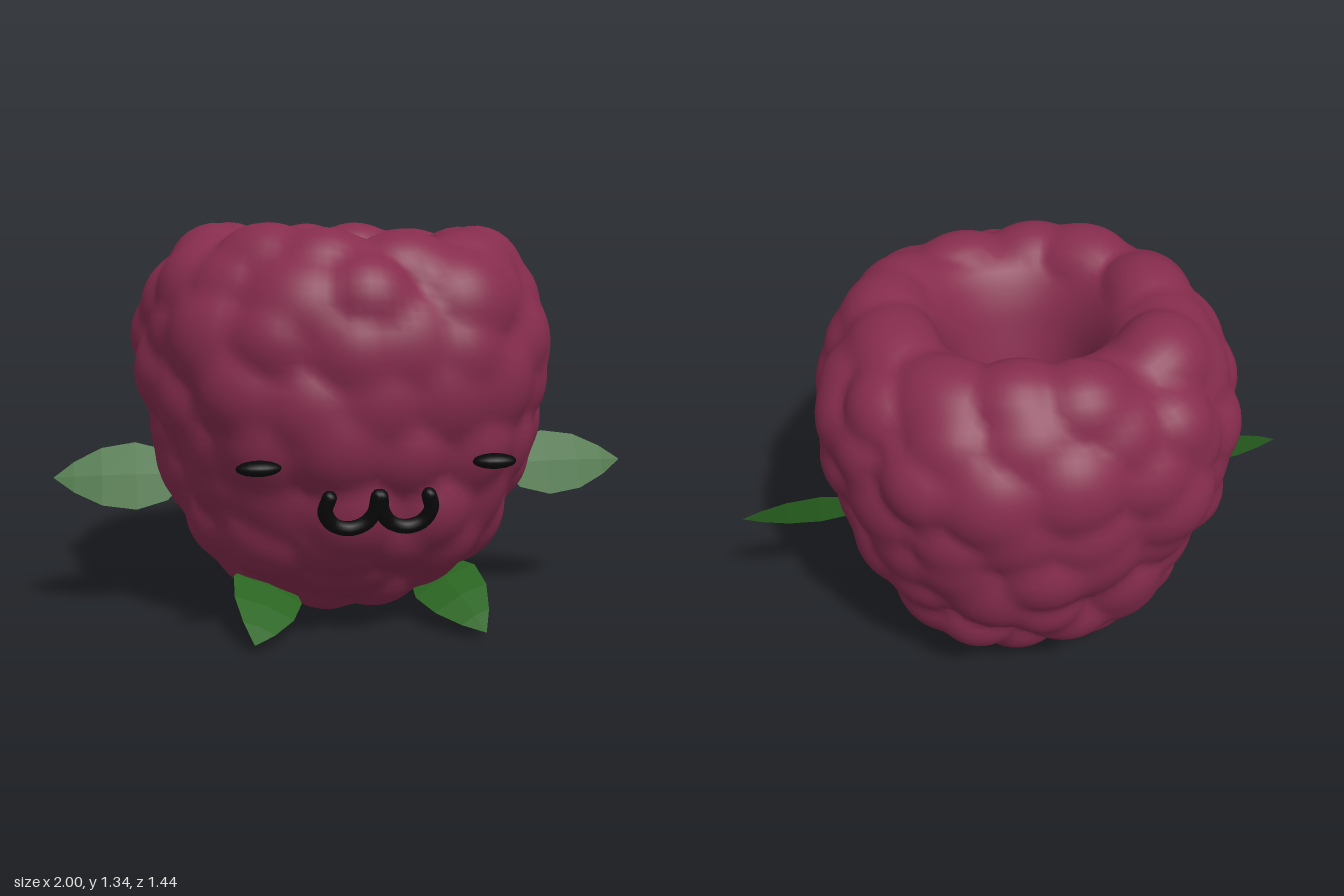
import * as THREE from 'three';
import { mergeVertices } from 'three/addons/utils/BufferGeometryUtils.js';

const material = (name, color) => Object.assign(new THREE.MeshStandardMaterial({ color }), { name });
const V = (x, y, z) => new THREE.Vector3(x, y, z);

function named(name, geometry, mat) {
  const mesh = new THREE.Mesh(geometry, mat);
  mesh.name = name;
  return mesh;
}

function seeded(seed) {
  return () => {
    seed = (seed * 16807) % 2147483647;
    return seed / 2147483647;
  };
}

// Hollow berry: a lathed profile pushed out into rounded drupelets
function berryGeometry() {
  const profile = new THREE.SplineCurve([
    [0, 0.05], [0.18, 0.07], [0.32, 0.125], [0.435, 0.21], [0.51, 0.31], [0.56, 0.43], [0.6, 0.54],
    [0.64, 0.66], [0.665, 0.79], [0.668, 0.93], [0.645, 1.06], [0.59, 1.17], [0.51, 1.245],
    [0.41, 1.27], [0.315, 1.235], [0.25, 1.13], [0.21, 1.0], [0.175, 0.86], [0.155, 0.78], [0, 0.75],
  ].map(([x, y]) => new THREE.Vector2(x, y)));
  const points = profile.getSpacedPoints(90);
  points.forEach((p) => { p.x = Math.max(p.x, 0); });
  points[0].x = points[90].x = 0;

  // Staggered, irregular rows of drupelet centres
  const random = seeded(113);
  const seeds = [];
  const rows = 10;
  for (let row = 0; row < rows; row++) {
    const u = 0.02 + (row / (rows - 1)) * 0.64;
    const ring = profile.getPointAt(u);
    const count = Math.max(1, Math.round((ring.x * Math.PI * 2) / 0.25));
    for (let i = 0; i < count; i++) {
      const angle = ((i + (row % 2) / 2 + (random() - 0.5) * 0.6) / count) * Math.PI * 2;
      const p = profile.getPointAt(Math.max(0, u + (random() - 0.5) * 0.04));
      seeds.push({
        at: V(Math.sin(angle) * p.x, p.y, Math.cos(angle) * p.x),
        radius: 0.14 + random() * 0.05,
        height: 0.035 + random() * 0.035,
      });
    }
  }

  let geometry = new THREE.LatheGeometry(points, 128);
  const position = geometry.attributes.position;
  const normal = geometry.attributes.normal;
  const p = V(0, 0, 0), n = V(0, 0, 0);
  for (let i = 0; i < position.count; i++) {
    p.fromBufferAttribute(position, i);
    n.fromBufferAttribute(normal, i);
    if (Math.hypot(p.x, p.z) < 1e-4) n.set(0, Math.sign(n.y), 0);
    // Smoothly blended domes
    let sum = 0;
    for (const s of seeds) {
      const d = p.distanceTo(s.at) / s.radius;
      if (d < 1) sum += (s.height * (1 - d * d)) ** 6;
    }
    // Slightly squared plan
    const square = 1 + 0.03 * (1 - Math.cos(4 * Math.atan2(p.x, p.z))) / 2;
    p.x *= square;
    p.z *= square;
    p.addScaledVector(n, sum ** (1 / 6));
    position.setXYZ(i, p.x, p.y, p.z);
  }
  geometry.deleteAttribute('uv');
  geometry.deleteAttribute('normal');
  geometry = mergeVertices(geometry, 1e-4);
  geometry.computeVertexNormals();
  return geometry;
}

// Faceted leaf: diamond cross-sections from base to tip
function leafGeometry(base, tip, side, topBulge, underBulge, arch) {
  const up = side.clone().cross(tip.clone().sub(base)).normalize();
  if (up.y < 0) up.negate();
  const widths = [[0, 0.35], [0.1, 0.75], [0.35, 1], [0.62, 0.85], [0.84, 0.45], [1, 0.01]];
  const loops = widths.map(([t, w]) => {
    const c = base.clone().lerp(tip, t).addScaledVector(up, arch * Math.sin(t * Math.PI));
    return [
      c.clone().addScaledVector(side, w),
      c.clone().addScaledVector(up, topBulge * w),
      c.clone().addScaledVector(side, -w),
      c.clone().addScaledVector(up, -underBulge * w),
    ];
  });
  const corners = [];
  const quad = (a, b, c, d) => corners.push(a, b, c, a, c, d);
  for (let i = 0; i < loops.length - 1; i++) {
    for (let k = 0; k < 4; k++) {
      const m = (k + 1) % 4;
      quad(loops[i][k], loops[i][m], loops[i + 1][m], loops[i + 1][k]);
    }
  }
  const first = loops[0];
  quad(first[3], first[2], first[1], first[0]);
  const geometry = new THREE.BufferGeometry().setFromPoints(corners);
  geometry.computeVertexNormals();
  return geometry;
}

export function createModel() {
  const berryRed = material('berry red', 0x862c4d);
  const leafGreen = material('leaf green', 0x2b6522);
  leafGreen.side = THREE.DoubleSide;
  const black = material('face black', 0x080808);

  const model = new THREE.Group();
  model.name = 'berryCreature';
  model.add(named('berryBody', berryGeometry(), berryRed));

  for (const s of [1, -1]) {
    const label = s > 0 ? 'left' : 'right';

    // Leaf arm and leaf foot
    model.add(named(label + 'ArmLeaf', leafGeometry(
      V(s * 0.58, 0.475, 0.07), V(s, 0.48, 0.08), V(0, 0.105, -0.06), 0.015, 0.045, 0), leafGreen));
    model.add(named(label + 'FootLeaf', leafGeometry(
      V(s * 0.28, 0.13, 0.14), V(s * 0.375, 0.02, 0.56), V(s * 0.11, 0.045, -0.03), 0.016, 0.016, 0.035), leafGreen));

    // Narrow oval eye
    const eye = named(label + 'Eye', new THREE.SphereGeometry(1, 16, 10), black);
    eye.scale.set(0.07, 0.024, 0.038);
    eye.position.set(s * 0.367, 0.6, 0.64);
    model.add(eye);

    // Half of the curled mouth, leaning back towards its lower edge
    const path = new THREE.CatmullRomCurve3([
      [0.155, 0.505], [0.166, 0.46], [0.14, 0.418], [0.09, 0.402], [0.04, 0.418], [0.012, 0.455], [0.004, 0.505],
    ].map(([x, y]) => V(s * x, y, 0.645 + (y - 0.45) * 0.25)));
    const mouth = new THREE.Group();
    mouth.name = label + 'MouthCurl';
    mouth.add(named('curl', new THREE.TubeGeometry(path, 24, 0.024, 8), black));
    for (const t of [0, 1]) {
      const end = named('curlEnd', new THREE.SphereGeometry(0.024, 8, 6), black);
      end.position.copy(path.getPoint(t));
      mouth.add(end);
    }
    model.add(mouth);
  }
  return model;
}
